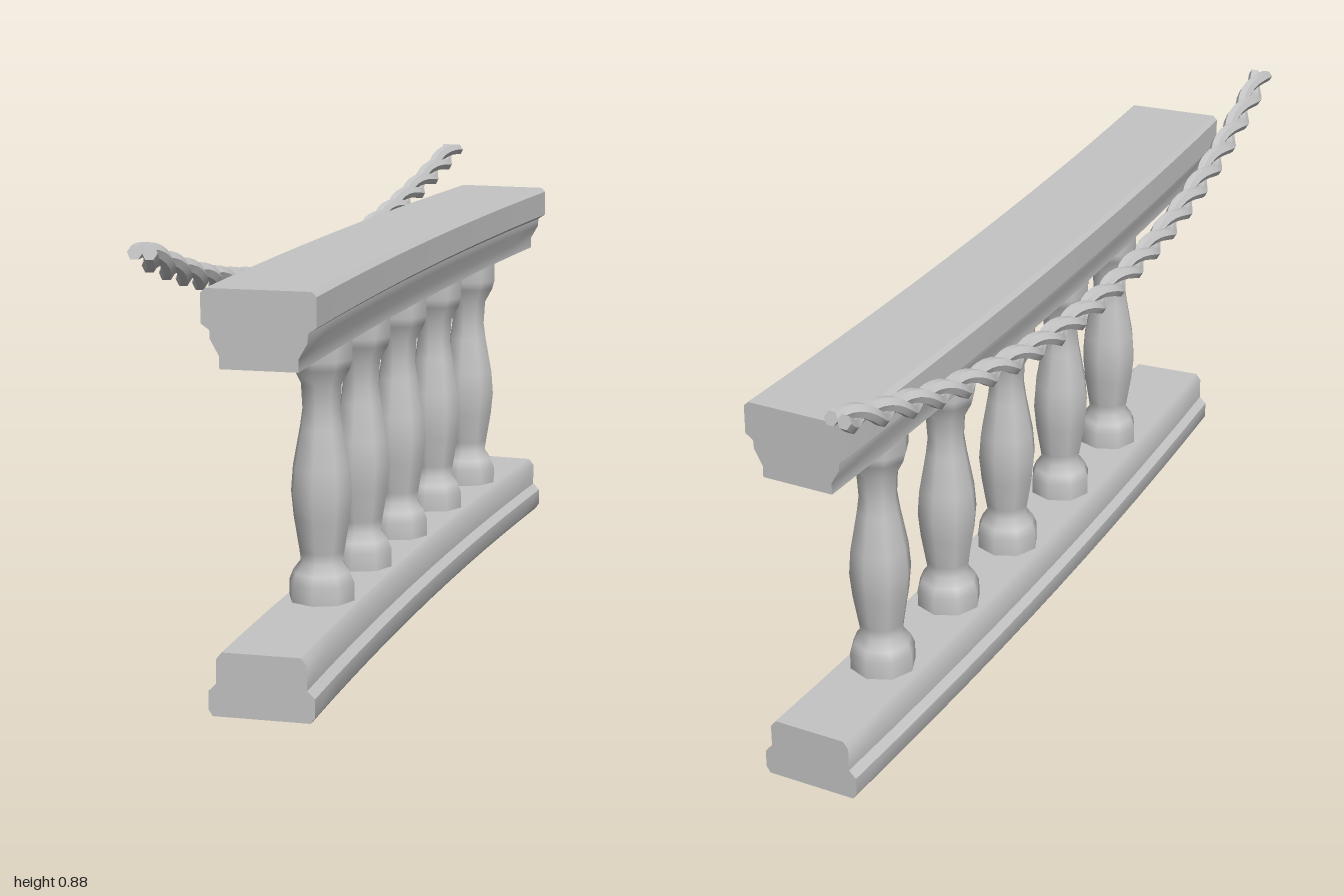
import * as THREE from 'three';
import { toCreasedNormals } from 'three/addons/utils/BufferGeometryUtils.js';

const V = (x, y, z) => new THREE.Vector3(x, y, z);

// Skin over equal-sized rings (each counter-clockwise seen from +z, advancing to +z), capped at both ends
function loft(rings, outline) {
  const n = outline.length;
  const positions = rings.flat().flatMap((p) => [p.x, p.y, p.z]);
  const index = [];
  for (let i = 0; i < rings.length - 1; i++) {
    for (let j = 0; j < n; j++) {
      const a = i * n + j, b = i * n + ((j + 1) % n);
      index.push(a, b, a + n, b, b + n, a + n);
    }
  }
  const last = (rings.length - 1) * n;
  for (const [a, b, c] of THREE.ShapeUtils.triangulateShape(outline, [])) {
    index.push(last + a, last + b, last + c, c, b, a);
  }
  const geometry = new THREE.BufferGeometry();
  geometry.setAttribute('position', new THREE.Float32BufferAttribute(positions, 3));
  geometry.setIndex(index);
  return toCreasedNormals(geometry, 0.75);
}

// Gently curved centre line of the balustrade
const MID_Z = -0.028;
const railX = (z) => {
  const t = z - MID_Z;
  return 0.029 + 0.185 * t + 0.029 * t * t;
};
const railAngle = (z) => Math.atan(0.185 + 0.058 * (z - MID_Z));

// Moulded rail: half profile of [half width, height] swept along the centre line
function railGeometry(half) {
  const outline = [...half, ...half.slice().reverse().map(([w, y]) => [-w, y])]
    .map(([w, y]) => new THREE.Vector2(w, y));
  const rings = [];
  for (let i = 0; i <= 12; i++) {
    const z = MID_Z + 0.87 * (i / 6 - 1);
    const a = railAngle(z);
    rings.push(outline.map((p) => V(railX(z) + p.x * Math.cos(a), p.y, z - p.x * Math.sin(a))));
  }
  return loft(rings, outline);
}

// One strand of the sagging two-strand rope
function strandGeometry(phase) {
  const path = (z) => V(-0.155 + 0.18 * z + 0.045 * z * z, 0.705 + 0.163 * z * z, z);
  const outline = [];
  for (let j = 0; j < 6; j++) {
    const a = (j / 6) * Math.PI * 2;
    outline.push(new THREE.Vector2(Math.cos(a), Math.sin(a)).multiplyScalar(0.0145));
  }
  const rings = [];
  const steps = 126;
  for (let i = 0; i <= steps; i++) {
    const z = -0.99 + (1.98 * i) / steps;
    const tangent = V(0.18 + 0.09 * z, 0.326 * z, 1).normalize();
    const side = V(0, 1, 0).cross(tangent).normalize();
    const up = tangent.clone().cross(side);
    const turn = phase + (i / steps) * Math.PI * 21;
    const ox = 0.0135 * Math.cos(turn), oy = 0.0135 * Math.sin(turn);
    rings.push(outline.map((p) => path(z)
      .addScaledVector(side, p.x + ox)
      .addScaledVector(up, p.y + oy)));
  }
  return loft(rings, outline);
}

export function createModel() {
  const group = new THREE.Group();
  const stone = new THREE.MeshStandardMaterial({ color: 0xc4c4c4 });
  stone.name = 'paleGrey';

  const add = (name, geometry, parent = group) => {
    const mesh = new THREE.Mesh(geometry, stone);
    mesh.name = name;
    parent.add(mesh);
    return mesh;
  };

  // Rails
  add('baseRail', railGeometry([
    [0.093, 0], [0.101, 0.012], [0.101, 0.047], [0.086, 0.061], [0.086, 0.108], [0.075, 0.122],
  ]));
  add('handRail', railGeometry([
    [0.073, 0.645], [0.073, 0.668], [0.09, 0.698], [0.091, 0.715],
    [0.107, 0.726], [0.107, 0.781], [0.098, 0.79],
  ]));

  // Turned balusters
  const profile = [
    [0.066, 0.12], [0.066, 0.158], [0.058, 0.178], [0.043, 0.198], [0.046, 0.22],
    [0.057, 0.285], [0.062, 0.335], [0.058, 0.385], [0.043, 0.465], [0.038, 0.5],
    [0.041, 0.55], [0.058, 0.582], [0.063, 0.6], [0.063, 0.646],
  ].map(([r, y]) => new THREE.Vector2(r, y));
  const balusterGeometry = new THREE.LatheGeometry(profile, 8);
  const balusters = new THREE.Group();
  balusters.name = 'balusters';
  group.add(balusters);
  for (let i = 0; i < 5; i++) {
    const z = 0.45 - 0.269 * i;
    const baluster = add('baluster', balusterGeometry, balusters);
    baluster.position.set(railX(z), 0, z);
    baluster.rotation.y = railAngle(z);
  }

  // Rope
  const rope = new THREE.Group();
  rope.name = 'rope';
  group.add(rope);
  for (const phase of [0, Math.PI]) add('ropeStrand', strandGeometry(phase), rope);

  return group;
}
